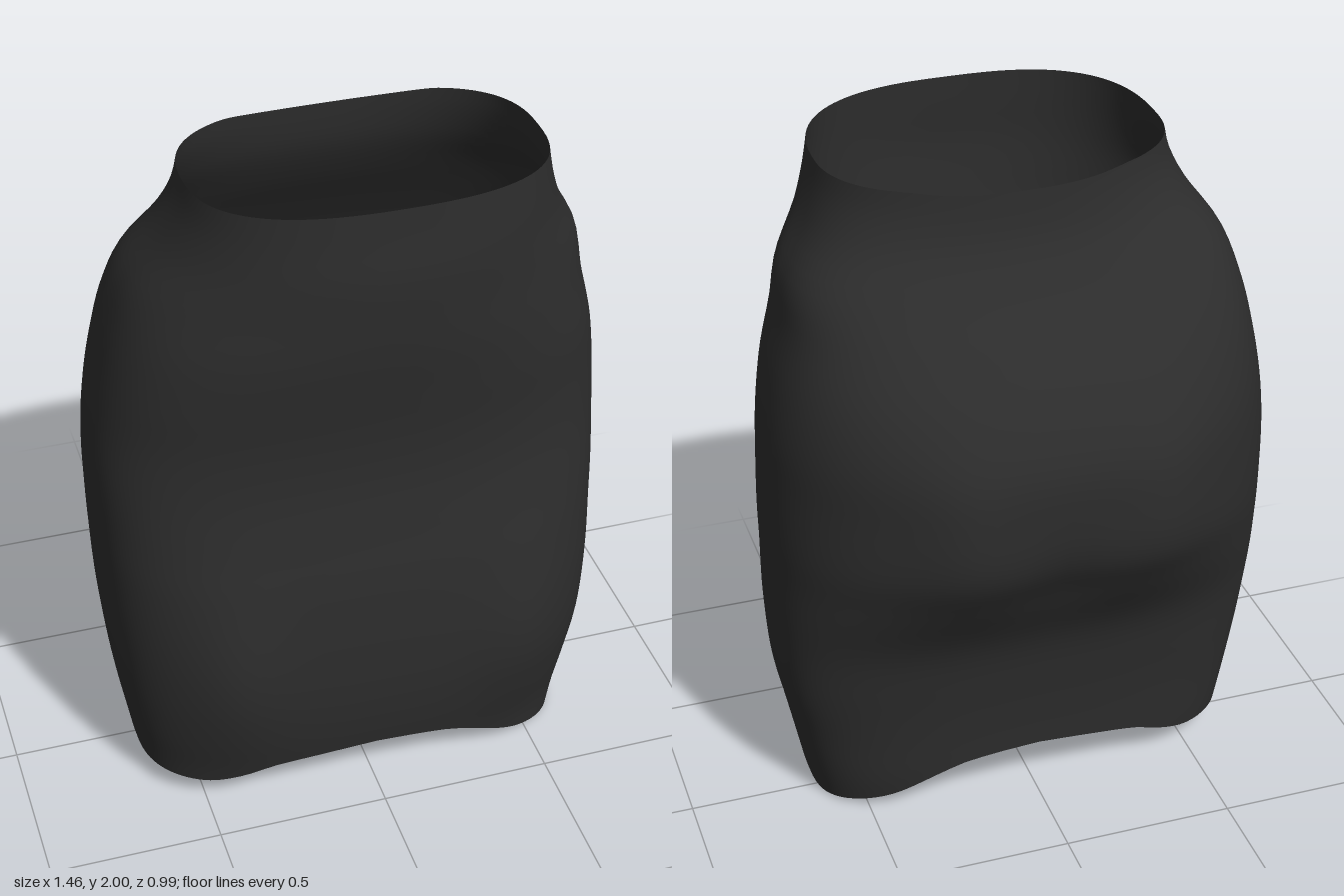
import * as THREE from 'three';

// Smooth interpolation of column k through rows sorted by their first value
function sample(rows, v, k) {
  const last = rows.length - 1;
  if (v <= rows[0][0]) return rows[0][k];
  if (v >= rows[last][0]) return rows[last][k];
  let i = 0;
  while (rows[i + 1][0] < v) i++;
  const slope = (j) => {
    const a = rows[Math.max(j - 1, 0)], b = rows[Math.min(j + 1, last)];
    return (b[k] - a[k]) / (b[0] - a[0]);
  };
  const h = rows[i + 1][0] - rows[i][0], t = (v - rows[i][0]) / h;
  const t2 = t * t, t3 = t2 * t;
  return (2 * t3 - 3 * t2 + 1) * rows[i][k] + (t3 - 2 * t2 + t) * h * slope(i)
    + (3 * t2 - 2 * t3) * rows[i + 1][k] + (t3 - t2) * h * slope(i + 1);
}

// Cross-sections: y, right x, left x, back z, front z, widest z, back squareness, front squareness
const SECTIONS = [
  [0.00, -0.64, 0.625, -0.205, 0.40, 0.09, 3.1, 3.0],
  [0.10, -0.655, 0.645, -0.222, 0.415, 0.08, 3.1, 2.9],
  [0.25, -0.68, 0.675, -0.235, 0.445, 0.07, 3.1, 2.9],
  [0.40, -0.70, 0.705, -0.255, 0.463, 0.06, 3.1, 2.9],
  [0.60, -0.718, 0.72, -0.30, 0.468, 0.05, 3.0, 2.9],
  [0.80, -0.727, 0.722, -0.41, 0.46, 0.04, 2.5, 2.9],
  [0.93, -0.73, 0.725, -0.475, 0.445, 0.03, 2.25, 2.9],
  [1.10, -0.73, 0.722, -0.49, 0.43, 0.03, 2.2, 2.8],
  [1.25, -0.715, 0.715, -0.485, 0.435, 0.03, 2.25, 2.7],
  [1.40, -0.688, 0.692, -0.43, 0.455, 0.05, 2.5, 2.6],
  [1.55, -0.652, 0.655, -0.345, 0.478, 0.07, 2.8, 2.4],
  [1.68, -0.605, 0.63, -0.265, 0.49, 0.09, 2.9, 2.2],
  [1.80, -0.52, 0.565, -0.21, 0.495, 0.12, 2.7, 2.3],
  [1.90, -0.47, 0.53, -0.193, 0.488, 0.13, 2.5, 2.5],
  [2.00, -0.445, 0.51, -0.188, 0.483, 0.13, 2.5, 2.6],
];

// Hem height across x, and waist height across z
const HEM = [[-0.66, 0.085], [-0.5, 0.08], [-0.4, 0.105], [-0.3, 0.142], [-0.1, 0.165], [0, 0.17],
  [0.2, 0.15], [0.3, 0.115], [0.45, 0.045], [0.63, 0]];
const WAIST = [[-0.19, 1.945], [-0.14, 1.965], [0.2, 1.975], [0.48, 1.998]];

// Soft round bump centred on x, y
const bump = (dx, dy, width, height) => Math.exp(-((dx / width) ** 2) - (dy / height) ** 2);

// Point on the cross-section at height y and angle a
function pointAt(y, a) {
  const [x0, x1, back, front, mid, nBack, nFront] = [1, 2, 3, 4, 5, 6, 7].map((k) => sample(SECTIONS, y, k));
  const c = Math.cos(a), s = Math.sin(a), n = s > 0 ? nFront : nBack;
  const x = (x0 + x1) / 2 + ((x1 - x0) / 2) * Math.sign(c) * Math.abs(c) ** (2 / n);
  let z = mid + (s > 0 ? front - mid : back - mid) * Math.abs(s) ** (2 / n);
  if (s > 0) {
    // Fullness over the thighs
    z += 0.03 * bump(Math.abs(x) - 0.43, y - 0.5, 0.14, 0.28);
  } else {
    // Fullness of the seat, with a shallow dip in its middle
    z -= 0.025 * bump(Math.abs(x) - 0.29, y - 1.05, 0.13, 0.25);
    z += 0.02 * bump(x, y - 0.86, 0.11, 0.14);
  }
  return [x, y, z];
}

function skirtGeometry(around, rows) {
  const positions = [], index = [];
  for (let i = 0; i <= rows; i++) {
    for (let j = 0; j < around; j++) {
      const a = (j / around) * Math.PI * 2;
      const low = sample(HEM, pointAt(0.08, a)[0], 1);
      const high = sample(WAIST, pointAt(1.97, a)[2], 1);
      positions.push(...pointAt(low + (high - low) * (i / rows), a));
    }
  }
  for (let i = 0; i < rows; i++) {
    for (let j = 0; j < around; j++) {
      const k = (j + 1) % around, p = i * around, q = p + around;
      index.push(p + j, q + j, p + k, p + k, q + j, q + k);
    }
  }
  const geometry = new THREE.BufferGeometry();
  geometry.setAttribute('position', new THREE.Float32BufferAttribute(positions, 3));
  geometry.setIndex(index);
  geometry.computeVertexNormals();
  return geometry;
}

export function createModel() {
  const group = new THREE.Group();
  group.name = 'pencilSkirt';
  const fabric = new THREE.MeshStandardMaterial({ color: 0x2d2d2d, side: THREE.DoubleSide });
  fabric.name = 'charcoal fabric';
  // Open fabric tube from hem to waist
  const skirt = new THREE.Mesh(skirtGeometry(96, 56), fabric);
  skirt.name = 'skirt';
  group.add(skirt);
  return group;
}
